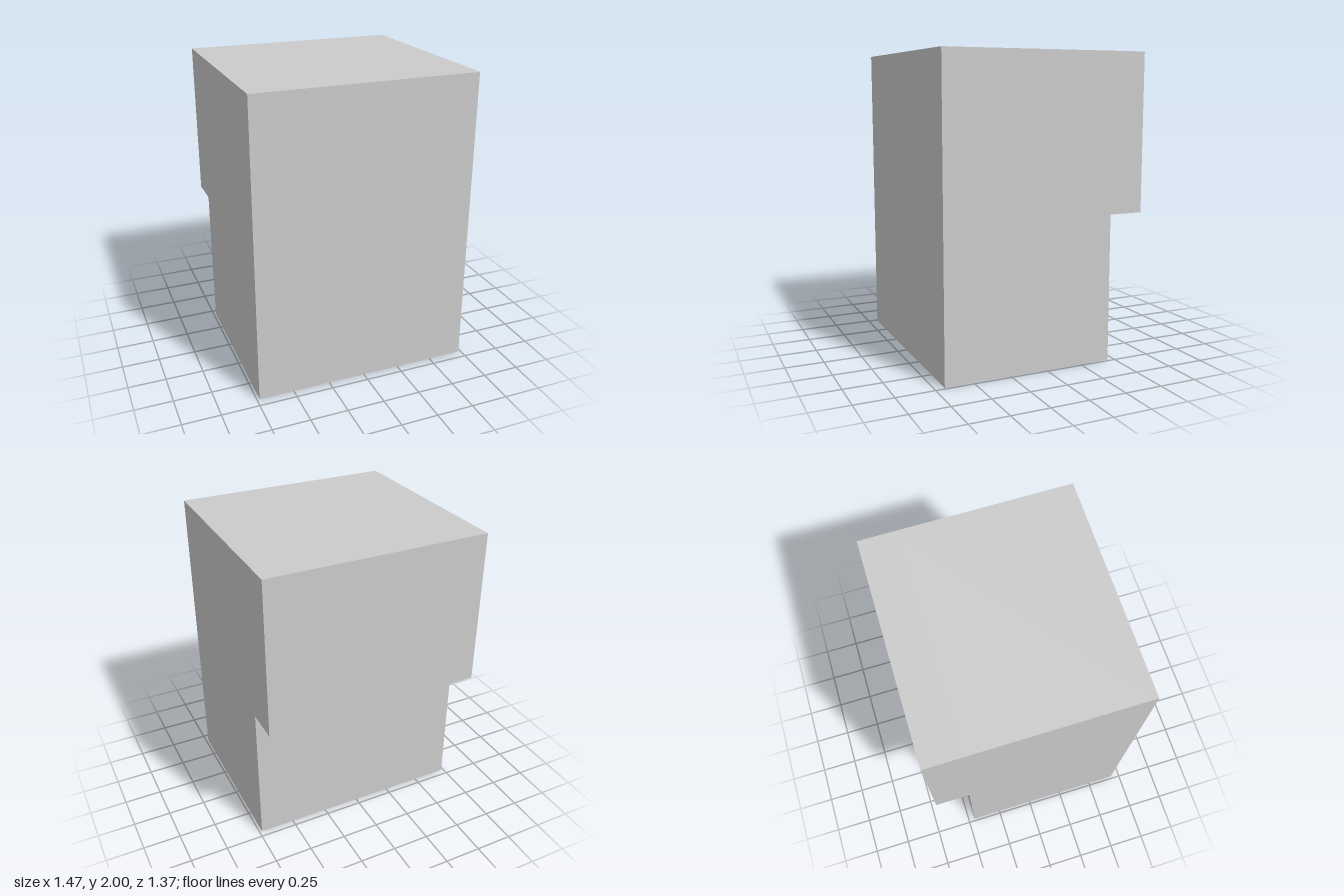
import * as THREE from 'three';

const material = new THREE.MeshStandardMaterial({ color: 0xcccccc, flatShading: true });

// Box given by its width and its lower/upper limits in y and z, centred on x
function block(name, width, [y0, y1], [z0, z1]) {
  const mesh = new THREE.Mesh(new THREE.BoxGeometry(width, y1 - y0, z1 - z0), material);
  mesh.position.set(0, (y0 + y1) / 2, (z0 + z1) / 2);
  mesh.name = name;
  return mesh;
}

export function createModel() {
  const model = new THREE.Group();
  model.name = 'steppedBlock';

  // Full-height main body
  model.add(block('mainBody', 1.466, [0, 2], [-0.456, 0.687]));
  // Upper overhang along the back
  model.add(block('rearOverhang', 1.466, [0.968, 2], [-0.687, -0.456]));

  return model;
}
